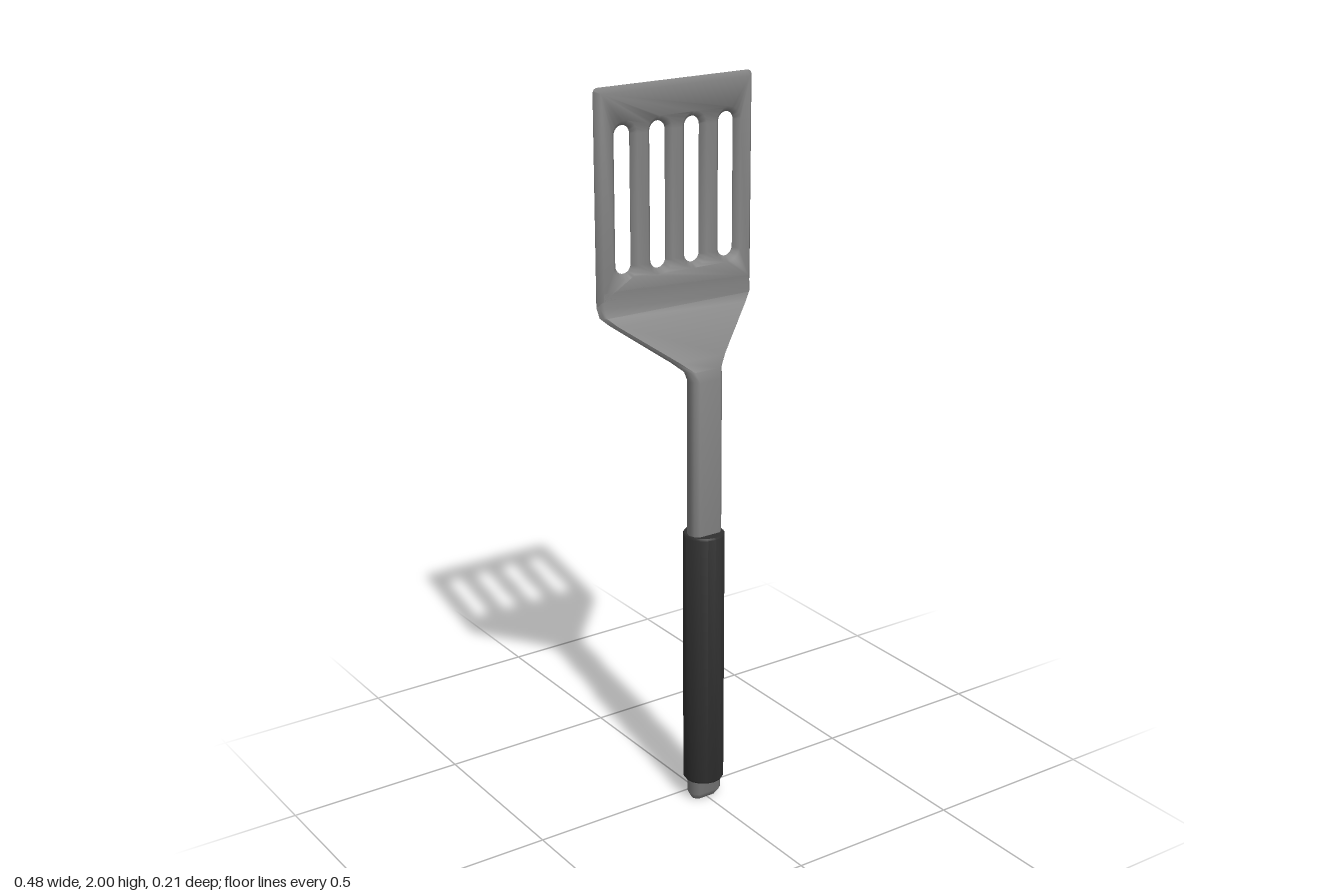
import * as THREE from 'three';
import { toCreasedNormals } from 'three/addons/utils/BufferGeometryUtils.js';

const metal = new THREE.MeshStandardMaterial({ color: 0x838383 });
const rubber = new THREE.MeshStandardMaterial({ color: 0x303030 });

// Section with bevelled sides: half width w, half thickness t, bevel b, roundness k
function section([y, w, t, z, b, k]) {
  const m = w - b * (1 - k);
  const ring = [[w, 0], [m, t * k], [w - b, t], [b - w, t], [-m, t * k],
    [-w, 0], [-m, -t * k], [b - w, -t], [w - b, -t], [m, -t * k]];
  return ring.map(([x, d]) => [x, y, z + d]);
}

function loft(rows) {
  const rings = rows.map(section);
  const n = rings[0].length;
  const index = [];
  for (let j = 0; j < rings.length - 1; j++) {
    for (let i = 0; i < n; i++) {
      const a = j * n + i, d = j * n + (i + 1) % n;
      index.push(a, a + n, d + n, a, d + n, d);
    }
  }
  const last = (rings.length - 1) * n;
  for (let i = 1; i < n - 1; i++) {
    index.push(0, i, i + 1, last, last + i + 1, last + i);
  }
  const geo = new THREE.BufferGeometry();
  geo.setAttribute('position', new THREE.Float32BufferAttribute(rings.flat(2), 3));
  geo.setIndex(index);
  return toCreasedNormals(geo, 1.1);
}

function bladeGeometry() {
  const w = 0.242, top = 2, bottom = 1.44, r = 0.015;
  const outline = new THREE.Shape();
  outline.moveTo(-w, bottom);
  outline.lineTo(w, bottom);
  outline.lineTo(w, top - r);
  outline.quadraticCurveTo(w, top, w - r, top);
  outline.lineTo(-w + r, top);
  outline.quadraticCurveTo(-w, top, -w, top - r);
  outline.closePath();

  // Four slots with round ends
  const s = 0.024;
  for (const x of [-0.16, -0.053, 0.053, 0.16]) {
    const slot = new THREE.Path();
    slot.absarc(x, 1.9 - s, s, 0, Math.PI, false);
    slot.absarc(x, 1.515 + s, s, Math.PI, 2 * Math.PI, false);
    slot.closePath();
    outline.holes.push(slot);
  }
  const geo = new THREE.ExtrudeGeometry(outline, {
    depth: 0.002, bevelThickness: 0.014, bevelSize: 0.014, bevelOffset: -0.014,
    bevelSegments: 1, curveSegments: 8,
  });
  geo.translate(0, 0, -0.091);
  return toCreasedNormals(geo, 1.1);
}

export function createModel() {
  const group = new THREE.Group();
  const add = (name, geo, material) => {
    const mesh = new THREE.Mesh(geo, material);
    mesh.name = name;
    group.add(mesh);
    return mesh;
  };

  // Flat tang, widening and stepping back into the blade
  add('shaftAndShoulder', loft([
    [0, 0.038, 0.015, 0.047, 0.014, 0.65],
    [0.02, 0.05, 0.027, 0.047, 0.018, 0.65],
    [1.24, 0.05, 0.027, 0.047, 0.018, 0.65],
    [1.265, 0.058, 0.024, 0.038, 0.018, 0.6],
    [1.29, 0.086, 0.021, 0.018, 0.016, 0.55],
    [1.39, 0.217, 0.016, -0.068, 0.014, 0.5],
    [1.41, 0.238, 0.015, -0.082, 0.014, 0.5],
    [1.435, 0.242, 0.015, -0.09, 0.014, 0.5],
    [1.475, 0.242, 0.015, -0.09, 0.014, 0.5],
  ]), metal);

  add('slottedBlade', bladeGeometry(), metal);

  // Round grip with slightly eased ends
  const profile = [[0, 0.062], [0.054, 0.062], [0.057, 0.067], [0.057, 0.8],
    [0.054, 0.805], [0, 0.805]].map(([x, y]) => new THREE.Vector2(x, y));
  const grip = add('grip', toCreasedNormals(new THREE.LatheGeometry(profile, 16), 0.6), rubber);
  grip.position.z = 0.045;

  return group;
}
